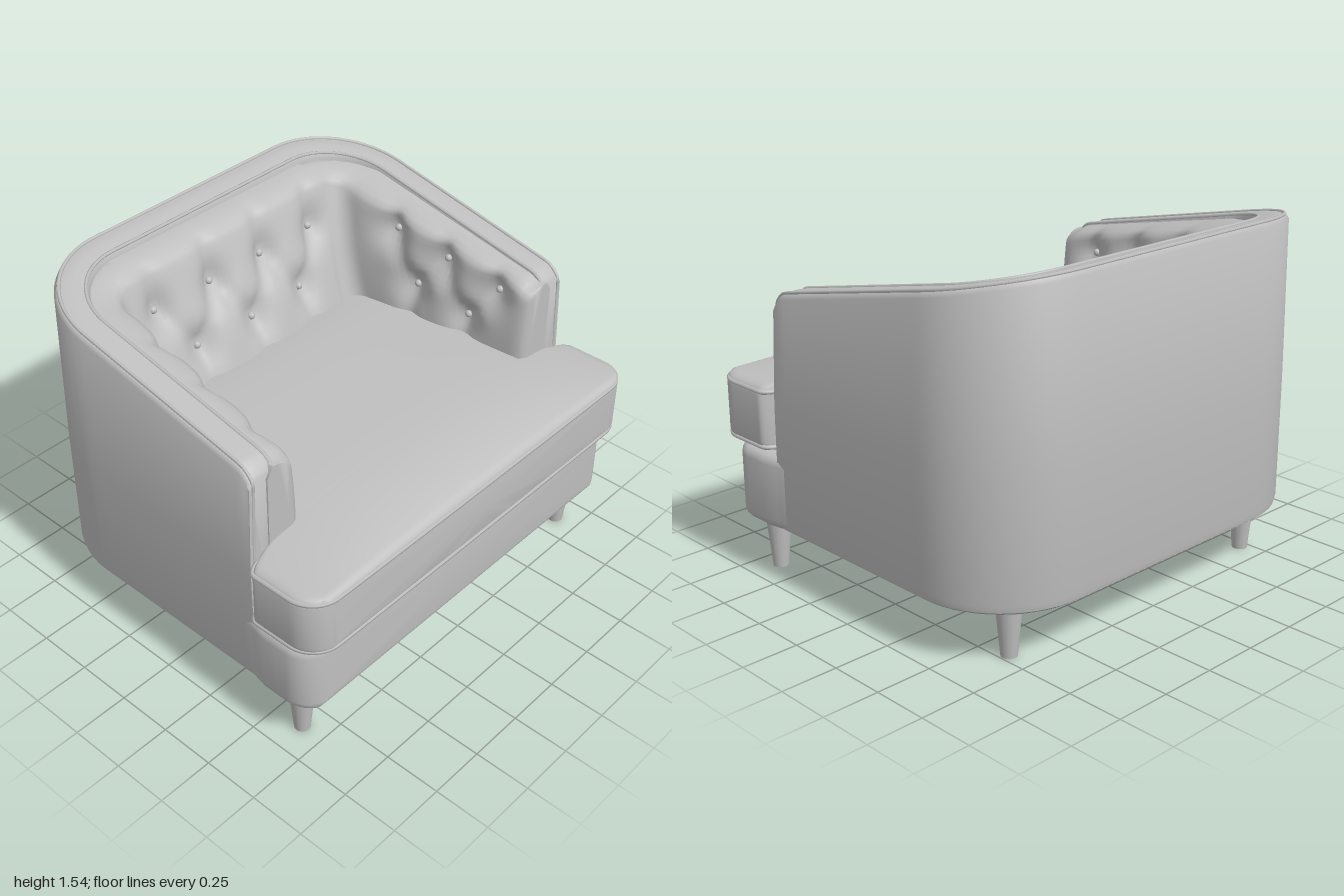
import * as THREE from 'three';
import { toCreasedNormals } from 'three/addons/utils/BufferGeometryUtils.js';

const fabric = new THREE.MeshStandardMaterial({ color: 0xbfbfbf });
fabric.name = 'grey upholstery';

const V = (x, y, z) => new THREE.Vector3(x, y, z);
const { lerp, clamp } = THREE.MathUtils;
const range = (n, a = 0, b = 1) => Array.from({ length: n + 1 }, (_, i) => lerp(a, b, i / n));
const arc = (t) => Math.sqrt(Math.max(0, 1 - t * t)); // quarter circle, 1 -> 0

// Capped solid through closed rings; its faces are turned outwards by signed volume.
function loft(rings, crease = 0.7) {
  const n = rings[0].length, pts = rings.flat(), tris = [];
  for (let i = 0; i < rings.length - 1; i++) for (let j = 0; j < n; j++) {
    const a = i * n + j, b = i * n + (j + 1) % n;
    tris.push([a, b, a + n], [b, b + n, a + n]);
  }
  [0, rings.length - 1].forEach((r, end) => {
    const c = pts.length, mid = V(0, 0, 0);
    rings[r].forEach((p) => mid.addScaledVector(p, 1 / n));
    pts.push(mid);
    for (let j = 0; j < n; j++) {
      const a = r * n + j, b = r * n + (j + 1) % n;
      tris.push(end ? [a, b, c] : [b, a, c]);
    }
  });
  let volume = 0;
  const cross = V(0, 0, 0);
  for (const [a, b, c] of tris) volume += pts[a].dot(cross.crossVectors(pts[b], pts[c]));
  if (volume < 0) tris.forEach((t) => t.reverse());
  const g = new THREE.BufferGeometry().setFromPoints(pts);
  g.setIndex(tris.flat());
  return toCreasedNormals(g, crease);
}

// Point on the U-shaped plan: 0 left arm, 1 corner, 2 back, 3 corner, 4 right arm.
function plan(seg, f, dx, dz, r, y, zFront) {
  if (seg > 2) { const p = plan(4 - seg, 1 - f, dx, dz, r, y, zFront); p.x *= -1; return p; }
  const X = 0.96 - dx, Z = -0.84 + dz, a = f * Math.PI / 2;
  if (seg === 0) return V(X, y, lerp(zFront, Z + r, f));
  if (seg === 1) return V(X - r + r * Math.cos(a), y, Z + r - r * Math.sin(a));
  return V(lerp(X - r, r - X, f), y, Z);
}
function stations(nSide, nCorner, nBack) {
  const side = [0, 0.012, 0.03, 0.055, ...range(nSide, 0.08, 1)];
  const s = side.map((f) => [0, f]);
  range(nCorner).slice(1).forEach((f) => s.push([1, f]));
  range(nBack).slice(1).forEach((f) => s.push([2, f]));
  range(nCorner).slice(1).forEach((f) => s.push([3, f]));
  side.slice(0, -1).reverse().forEach((f) => s.push([4, 1 - f]));
  return s;
}
// Sloping top edge, rounded over at the arm fronts
const topAt = (z) => 1.27 + (0.45 - z) * 0.21 - 0.05 * Math.max(0, (z - 0.41) / 0.07) ** 2;
const frontAt = (y) => 0.49 - 0.015 * (y - 0.24);

// Point of the frame shell at inset d; drop is measured down from the top edge
function shellPoint([seg, f], d, drop, y) {
  const lean = y === undefined ? 0.015 : 0;
  const p = plan(seg, f, d + lean, d, 0.42 - d, 0, frontAt(y ?? 1.25));
  p.y = y ?? topAt(p.z) - drop;
  return p;
}

// Button tufting: [along, height] in two staggered rows, joined by pleats
function tufting(upper, lower) {
  const folds = [];
  for (const a of upper) {
    folds.push([...a, a[0], a[1] + 0.3]);
    for (const b of lower) if (Math.abs(a[0] - b[0]) < 0.2) folds.push([...a, ...b]);
  }
  for (const b of lower) folds.push([...b, b[0], b[1] - 0.3]);
  const buttons = [...upper, ...lower];
  const dent = (s, y) => {
    let pleat = 0, pit = 0;
    for (const [x1, y1, x2, y2] of folds) {
      const ux = x2 - x1, uy = y2 - y1;
      const t = clamp(((s - x1) * ux + (y - y1) * uy) / (ux * ux + uy * uy), 0, 1);
      pleat = Math.max(pleat, Math.exp(-(((s - x1 - t * ux) ** 2 + (y - y1 - t * uy) ** 2) / 0.0016)));
    }
    for (const [x, h] of buttons) pit = Math.max(pit, Math.exp(-((s - x) ** 2 + (y - h) ** 2) / 0.006));
    return 0.018 * pleat + 0.05 * pit;
  };
  return { buttons, dent };
}
const backTufts = tufting([-0.46, -0.15, 0.15, 0.46].map((x) => [x, 1.27]), [-0.31, 0, 0.31].map((x) => [x, 1.06]));
const armTufts = tufting([0.3, 0.03, -0.24].map((z) => [z, 1.23 - z * 0.2]), [0.165, -0.105].map((z) => [z, 1.03 - z * 0.2]));
const backBase = (y) => lerp(0.46, 0.25, clamp((y - 0.85) / 0.65, 0, 1));
const backDepth = (x, y) => backBase(y) + 0.05 * Math.max(0, 1 - (x / 0.58) ** 2) * clamp((1.45 - y) / 0.4, 0, 1)
  - backTufts.dent(x, y) * (1 - Math.min(1, Math.abs(x) / 0.6) ** 8);
const armDepth = (z, y) => lerp(0.27, 0.36, clamp((0.45 - z) / 0.85, 0, 1))
  - 0.06 * clamp((y - 0.9) / 0.5, 0, 1) ** 2 - armTufts.dent(z, y);

// Ring of the tufted lining at one station
function liningRing([seg, f]) {
  const arm = seg === 0 || seg === 4, q = seg === 4 ? 1 - f : f, zf = 0.485;
  const roughZ = arm ? lerp(zf, -0.4, q) : seg === 2 ? -0.62 : lerp(-0.4, -0.62, seg === 1 ? f : 1 - f);
  const H = topAt(Math.min(roughZ, 0.45));
  const ring = range(26).map((v) => {
    const a = Math.max(0, (v - 0.82) / 0.18) * Math.PI / 2, e = Math.cos(a);
    const y = v < 0.82 ? lerp(0.7, H - 0.06, v / 0.82) : H - 0.06 + 0.055 * Math.sin(a);
    const r = lerp(0.28, 0.08, e);
    let dz = backBase(y);
    const zEnd = -0.84 + dz + r, z = arm ? lerp(zf, zEnd, q) : zEnd;
    let dx = armDepth(z, y);
    if (arm) dx *= lerp(0.85, 1, arc(1 - Math.min(1, (zf - z) / 0.06)));
    if (seg === 2) dz = backDepth(lerp(0.96 - dx - r, r + dx - 0.96, f), y);
    return plan(seg, f, lerp(0.13, dx, e), lerp(0.13, dz, e), r, y, zf);
  });
  ring.push(plan(seg, f, 0.1, 0.1, 0.3, H - 0.05, zf), plan(seg, f, 0.1, 0.1, 0.3, 0.7, zf));
  return ring;
}

// Cushion-like block lofted along z with rounded edges and front corners
function slab({ zs, zEnd, corner, r, width, top, bottom }) {
  const all = [...zs, ...range(12, 0, Math.PI / 2).map((a) => zEnd - corner + corner * Math.sin(a))];
  const widthAt = (z) => width(z) - corner * (1 - arc(Math.max(0, (z - zEnd + corner) / corner)));
  const rings = all.map((z) => {
    const w = widthAt(z), shrink = r * (1 - arc(Math.max(0, (z - zEnd + r) / r)));
    const row = (fn, sign) => range(32, -Math.PI / 2, Math.PI / 2).map((a) => {
      const x = w * Math.sin(a), edge = r * (1 - arc(Math.max(0, (Math.abs(x) - w + r) / r)));
      return V(x, fn(x, z) - sign * Math.max(edge, shrink), z);
    });
    return [...row(top, 1), ...row(bottom, -1).reverse()];
  });
  return { geometry: loft(rings), all, widthAt };
}

export function createModel() {
  const group = new THREE.Group();
  const add = (name, geometry, x = 0, y = 0, z = 0) => {
    const m = new THREE.Mesh(geometry, fabric);
    m.name = name;
    m.position.set(x, y, z);
    group.add(m);
  };
  const piping = (name, pts, radius = 0.008) =>
    add(name, new THREE.TubeGeometry(new THREE.CatmullRomCurve3(pts, false, 'centripetal'), 200, radius, 6));

  // Curved outer frame of arms and back
  const st = stations(16, 14, 16);
  add('frame', loft(st.map((s) => [
    shellPoint(s, 0.025, 0, 0.235), shellPoint(s, 0.006, 0, 0.25), shellPoint(s, 0, 0, 0.28), shellPoint(s, 0, 0, 0.8),
    shellPoint(s, 0, 0.025), shellPoint(s, 0.01, 0.007), shellPoint(s, 0.025, 0), shellPoint(s, 0.08, -0.004),
    shellPoint(s, 0.13, 0), shellPoint(s, 0.14, 0.02), shellPoint(s, 0.15, 0, 0.8), shellPoint(s, 0.15, 0, 0.235),
  ])));

  // Piping over the top edge and down the arm fronts
  for (const [name, d, low] of [['outerPiping', 0.02, 0.25], ['innerPiping', 0.125, 0.8]]) {
    const side = (sx) => range(5, low, 1.17).map((y) => V(sx * (0.96 - d - 0.015 * clamp((y - 0.8) / 0.4, 0, 1)), y, frontAt(y) - 0.003));
    piping(name, [...side(1), ...st.map((s) => shellPoint(s, d, 0)), ...side(-1).reverse()]);
  }

  // Closed underside
  add('underside', loft([0.236, 0.6].map((y) => st.map((s) => shellPoint(s, 0.022, 0, y)))));

  // Button-tufted lining
  add('tuftedLining', loft(stations(36, 6, 60).map(liningRing), 1.0));
  const button = new THREE.SphereGeometry(0.017, 12, 8);
  for (const [x, y] of backTufts.buttons) add('backButton', button, x, y, -0.835 + backDepth(x, y));
  for (const [z, y] of armTufts.buttons) for (const s of [1, -1])
    add('armButton', button, s * (0.955 - armDepth(z, y)), y, z);

  // Front rail below the seat
  add('frontRail', slab({
    zs: [0.44, 0.47, 0.49, 0.55, 0.62], zEnd: 0.79, corner: 0.12, r: 0.045,
    width: (z) => 0.98 - 0.02 * clamp((0.55 - z) / 0.1, 0, 1), top: () => 0.57, bottom: () => 0.236,
  }).geometry);

  // T-shaped crowned seat cushion with piped seams
  const crown = (x, z) => (1 - Math.min(1, Math.abs(x)) ** 2.5) * Math.max(0, 1 - (Math.abs(z - 0.1) / 0.75) ** 4);
  const seat = slab({
    zs: [...range(14, -0.4, 0.44), ...range(10, 0.46, 0.56), 0.62, 0.67], zEnd: 0.845, corner: 0.13, r: 0.035,
    width: (z) => 0.72 + 0.28 * arc(1 - clamp((z - 0.47) / 0.07, 0, 1)),
    top: (x, z) => 0.87 + 0.08 * crown(x, z),
    bottom: (x, z) => 0.595 - 0.03 * crown(x, z),
  });
  add('seatCushion', seat.geometry);
  const zEdge = seat.all.filter((z) => z > 0.47);
  for (const y of [0.85, 0.61]) {
    const half = (s) => zEdge.map((z) => V(s * (seat.widthAt(z) - 0.006), y, z - 0.006));
    piping('seatPiping', [...half(1), ...half(-1).reverse()], 0.01);
  }

  // Tapered legs
  const leg = new THREE.CylinderGeometry(0.058, 0.034, 0.25, 16);
  for (const s of [1, -1]) {
    add('frontLeg', leg, s * 0.86, 0.125, 0.64);
    add('backLeg', leg, s * 0.71, 0.125, -0.635);
  }
  return group;
}
